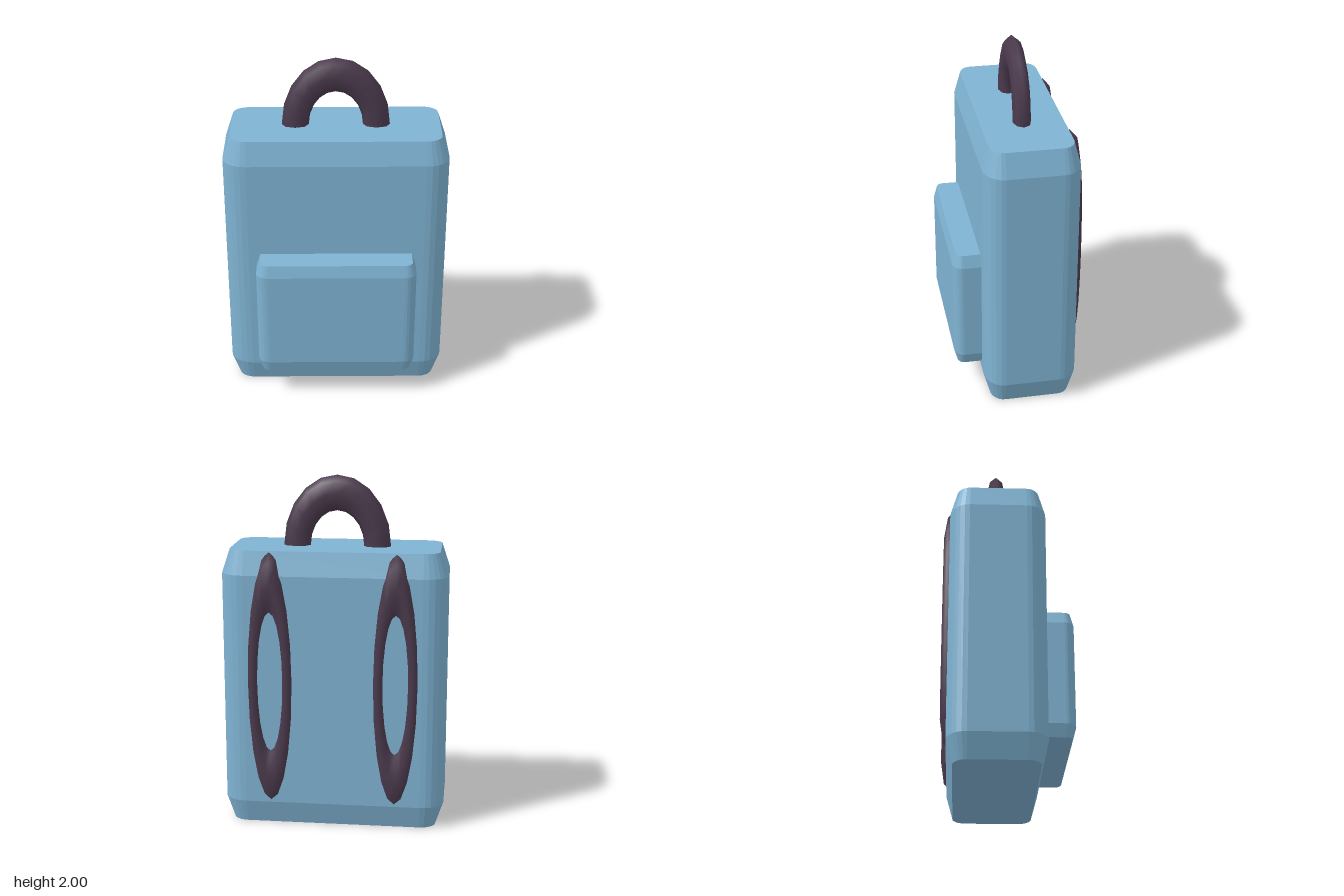
import * as THREE from 'three';

const fabric = new THREE.MeshStandardMaterial({ color: 0x7fb3d3 });
fabric.name = 'blueFabric';
const webbing = new THREE.MeshStandardMaterial({ color: 0x4b3a4d });
webbing.name = 'darkWebbing';

function addMesh(group, name, geometry, material, x, y, z) {
  const mesh = new THREE.Mesh(geometry, material);
  mesh.name = name;
  mesh.position.set(x, y, z);
  group.add(mesh);
  return mesh;
}

// Upright block with rounded corners and tall chamfers at both ends; base at y = 0.
function roundedBlock({ width, depth, height, corner, inset, chamfer }) {
  const squash = 0.83; // corners are slightly flatter front to back
  const hx = width / 2 - inset;
  const hy = depth / 2 / squash - inset;
  const shape = new THREE.Shape();
  shape.absarc(hx - corner, hy - corner, corner, 0, Math.PI / 2);
  shape.absarc(-hx + corner, hy - corner, corner, Math.PI / 2, Math.PI);
  shape.absarc(-hx + corner, -hy + corner, corner, Math.PI, Math.PI * 1.5);
  shape.absarc(hx - corner, -hy + corner, corner, Math.PI * 1.5, Math.PI * 2);
  shape.closePath();
  const geometry = new THREE.ExtrudeGeometry(shape, {
    depth: height - 2 * chamfer,
    curveSegments: 3,
    bevelEnabled: true,
    bevelSegments: 1,
    bevelSize: inset,
    bevelThickness: chamfer,
  });
  geometry.translate(0, 0, chamfer);
  geometry.rotateX(-Math.PI / 2);
  geometry.scale(1, 1, squash);
  return geometry;
}

// Ring with a hole half its size, stretched to the given half extents.
function stretchedRing(halfWidth, halfHeight, halfDepth, arc, segments) {
  const geometry = new THREE.TorusGeometry(0.75, 0.25, 8, segments, arc);
  return geometry.scale(halfWidth, halfHeight, halfDepth / 0.25);
}

export function createModel() {
  const backpack = new THREE.Group();
  backpack.name = 'backpack';

  // Main bag
  addMesh(backpack, 'body', roundedBlock({
    width: 1.27, depth: 0.535, height: 1.6, corner: 0.09, inset: 0.045, chamfer: 0.135,
  }), fabric, 0, 0, -0.0625);

  // Front pocket, sunk into the bag
  addMesh(backpack, 'frontPocket', roundedBlock({
    width: 0.915, depth: 0.3, height: 0.725, corner: 0.045, inset: 0.023, chamfer: 0.07,
  }), fabric, 0, 0.18, 0.21);

  // Carry handle on top
  addMesh(backpack, 'handle', stretchedRing(0.305, 0.4, 0.051, Math.PI, 10),
    webbing, 0, 1.6, -0.0625);

  // Shoulder straps, half sunk into the back
  for (const [name, side] of [['leftStrap', 1], ['rightStrap', -1]]) {
    addMesh(backpack, name, stretchedRing(0.131, 0.74, 0.064, Math.PI * 2, 20),
      webbing, side * 0.355, 0.855, -0.3);
  }

  return backpack;
}
